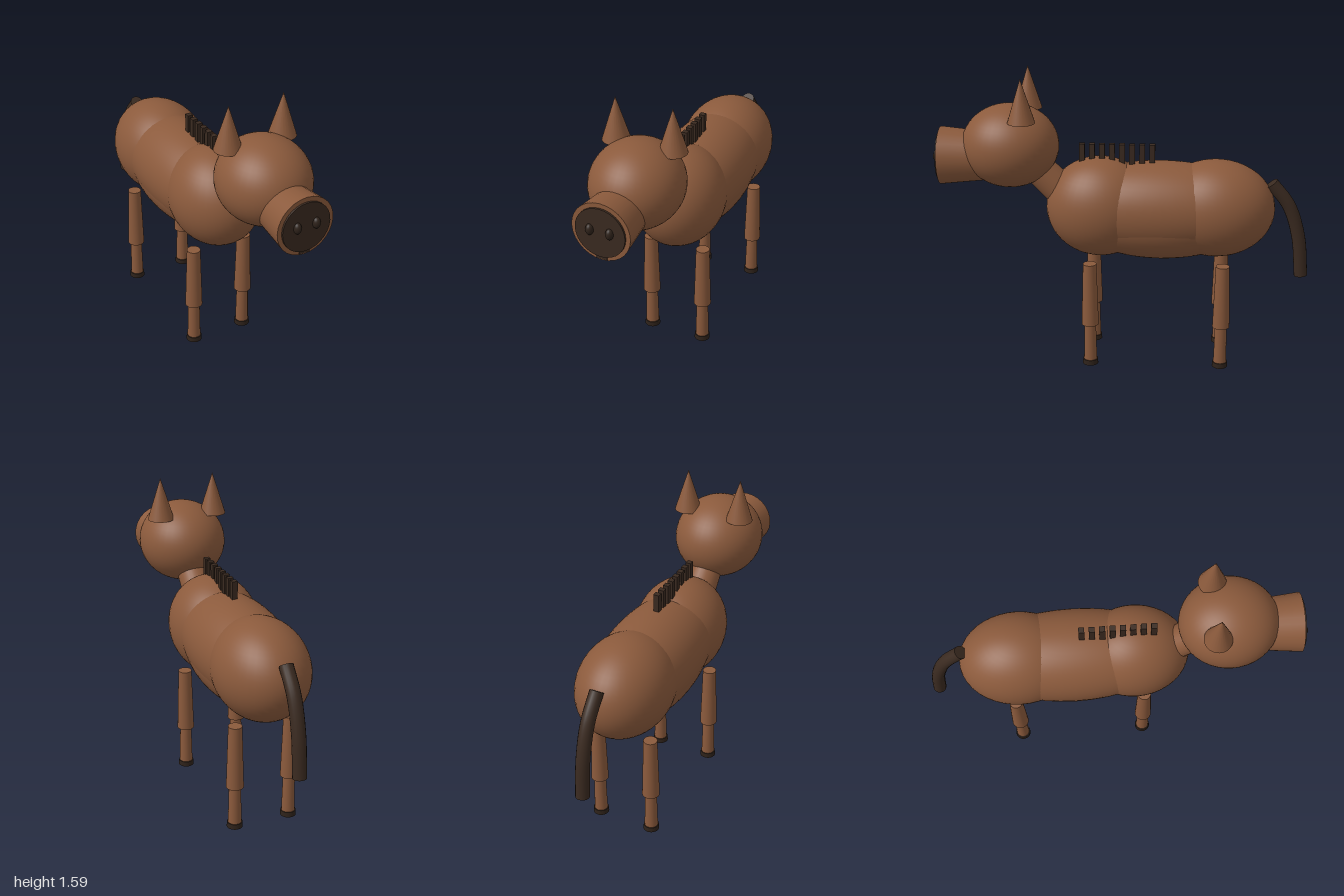
import * as THREE from 'three';

const mat = (name, color) => {
  const m = new THREE.MeshStandardMaterial({ color });
  m.name = name;
  return m;
};

export function createModel() {
  const coat = mat('brown coat', 0x8b5a3c);
  const dark = mat('dark brown', 0x3a2a20);
  const hoofMat = mat('hoof brown', 0x2e221a);
  const model = new THREE.Group();
  model.name = 'pony';

  const add = (name, geometry, material, x, y, z, parent = model) => {
    const mesh = new THREE.Mesh(geometry, material);
    mesh.name = name;
    mesh.position.set(x, y, z);
    parent.add(mesh);
    return mesh;
  };
  const ellipsoid = (rx, ry, rz) => new THREE.SphereGeometry(1, 40, 28).scale(rx, ry, rz);
  const cylinder = (top, bottom, h) => new THREE.CylinderGeometry(top, bottom, h, 28);

  // Body: overlapping rounded masses
  add('chest', ellipsoid(0.24, 0.27, 0.29), coat, 0, 0.865, 0.12);
  add('barrel', ellipsoid(0.245, 0.252, 0.57), coat, 0, 0.862, -0.2);
  add('belly', ellipsoid(0.235, 0.235, 0.5), coat, 0, 0.82, -0.2);
  add('rump', ellipsoid(0.245, 0.262, 0.315), coat, 0, 0.865, -0.493);

  // Neck, leaning forward
  const neck = add('neck', cylinder(0.08, 0.092, 0.42), coat, 0, 1.005, 0.385);
  neck.rotation.x = Math.PI / 4;

  // Head and flared muzzle
  add('head', ellipsoid(0.237, 0.222, 0.257), coat, 0, 1.196, 0.595);
  const muzzle = add('muzzle', cylinder(0.154, 0.127, 0.27), coat, 0, 1.134, 0.832);
  muzzle.rotation.x = Math.PI / 2;
  const nose = add('nose', cylinder(0.131, 0.131, 0.02), dark, 0, 1.133, 0.967);
  nose.rotation.x = Math.PI / 2;
  add('mouth', new THREE.BoxGeometry(0.06, 0.016, 0.008), dark, 0, 0.996, 0.967);

  for (const side of [-1, 1]) {
    add('nostril', ellipsoid(0.02, 0.029, 0.022), hoofMat, side * 0.052, 1.143, 0.978);
    add('ear', new THREE.ConeGeometry(0.072, 0.23, 24), coat, side * 0.152, 1.475, 0.513);
  }

  // Legs, each with a tapered upper part, a thinner shin and a hoof
  for (const [label, z] of [['front', 0.17], ['rear', -0.535]]) {
    for (const side of [-1, 1]) {
      const leg = new THREE.Group();
      leg.name = label + (side > 0 ? 'LeftLeg' : 'RightLeg');
      leg.position.set(side * 0.153, 0, z);
      model.add(leg);
      add('upperLeg', cylinder(0.036, 0.046, 0.35), coat, 0, 0.415, 0, leg);
      add('lowerLeg', cylinder(0.031, 0.036, 0.25), coat, 0, 0.125, 0, leg);
      add('hoof', cylinder(0.04, 0.042, 0.028), hoofMat, 0, 0.018, 0, leg);
    }
  }

  // Mane: a row of short upright tufts
  for (let i = 0; i < 8; i++) {
    add('maneTuft', new THREE.BoxGeometry(0.03, 0.13, 0.03), dark, 0, 1.145, 0.217 - i * 0.0529);
  }

  // Tail: a drooping tube with closed ends
  const path = new THREE.CatmullRomCurve3([
    new THREE.Vector3(0, 1.008, -0.785),
    new THREE.Vector3(0, 0.885, -0.88),
    new THREE.Vector3(0, 0.71, -0.938),
    new THREE.Vector3(0, 0.487, -0.962),
  ]);
  add('tail', new THREE.TubeGeometry(path, 24, 0.036, 16), dark, 0, 0, 0);
  for (const [t, sign] of [[0, -1], [1, 1]]) {
    const p = path.getPointAt(t);
    const cap = add('tailEnd', new THREE.CircleGeometry(0.036, 16), dark, p.x, p.y, p.z);
    cap.lookAt(p.clone().addScaledVector(path.getTangentAt(t), sign));
  }

  return model;
}
